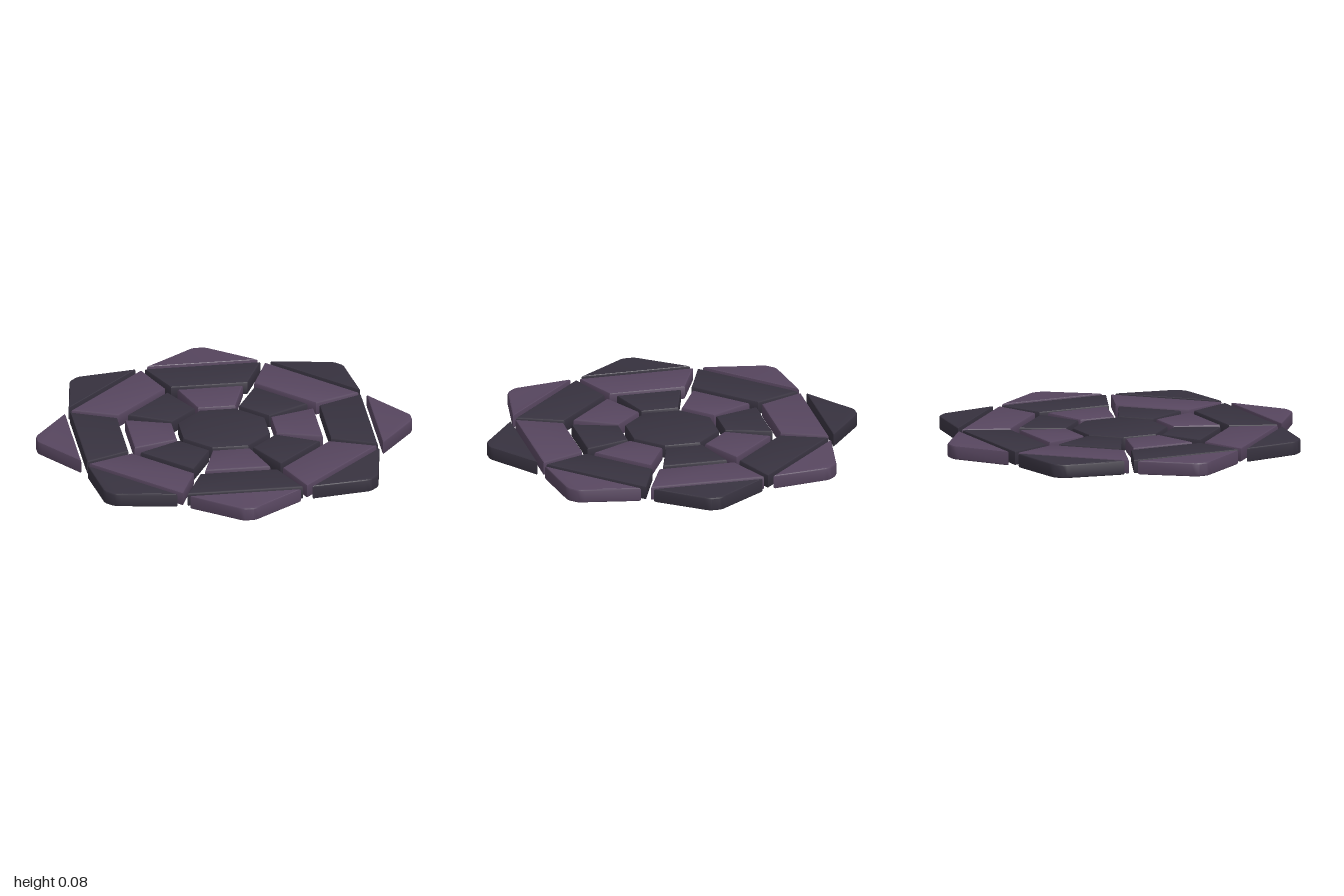
import * as THREE from 'three';
import { toCreasedNormals } from 'three/addons/utils/BufferGeometryUtils.js';

const HEIGHT = 0.075;
const BEVEL = 0.009;

const dark = new THREE.MeshStandardMaterial({ color: 0x37323f });
const purple = new THREE.MeshStandardMaterial({ color: 0x57465f });

// Flat tile with softened rims; outline points are [sideways, outward from the centre]
function tileGeometry(points) {
  const shape = new THREE.Shape(points.map(([u, r]) => new THREE.Vector2(u, r)));
  const geometry = new THREE.ExtrudeGeometry(shape, {
    depth: HEIGHT - 2 * BEVEL,
    bevelThickness: BEVEL,
    bevelSize: BEVEL,
    bevelOffset: -BEVEL,
    bevelSegments: 2,
  });
  geometry.translate(0, 0, BEVEL);
  geometry.rotateX(-Math.PI / 2);
  return toCreasedNormals(geometry, 0.5);
}

// Symmetric trapezoid between two distances from the centre
function trapezoid(innerR, innerHalf, outerR, outerHalf) {
  return [[-innerHalf, innerR], [innerHalf, innerR], [outerHalf, outerR], [-outerHalf, outerR]];
}

export function createModel() {
  const model = new THREE.Group();
  model.name = 'tiledRosette';

  // Eight tiles around the centre, alternating in colour
  function addRing(name, points, even, odd) {
    const geometry = tileGeometry(points);
    const ring = new THREE.Group();
    ring.name = name + 'Ring';
    for (let i = 0; i < 8; i++) {
      const tile = new THREE.Mesh(geometry, i % 2 ? odd : even);
      tile.name = name;
      tile.rotation.y = -i * Math.PI / 4;
      ring.add(tile);
    }
    model.add(ring);
  }

  // Central octagon
  const radius = 0.232 / Math.cos(Math.PI / 8);
  const octagon = [];
  for (let i = 0; i < 8; i++) {
    const a = (i + 0.5) * Math.PI / 4;
    octagon.push([radius * Math.cos(a), radius * Math.sin(a)]);
  }
  const centre = new THREE.Mesh(tileGeometry(octagon), dark);
  centre.name = 'centreTile';
  model.add(centre);

  // Inner and outer rings of trapezoids
  addRing('innerTile', trapezoid(0.265, 0.1, 0.503, 0.174), purple, dark);
  addRing('outerTile', trapezoid(0.54, 0.205, 0.776, 0.308), dark, purple);

  // Blunt triangular points around the rim, slightly skewed at the apex
  addRing('pointTile', [
    [-0.293, 0.805], [0.298, 0.805], [0.07, 0.98], [0.052, 0.993], [0.032, 1],
    [-0.015, 1], [-0.034, 0.993], [-0.052, 0.98],
  ], purple, dark);

  return model;
}
